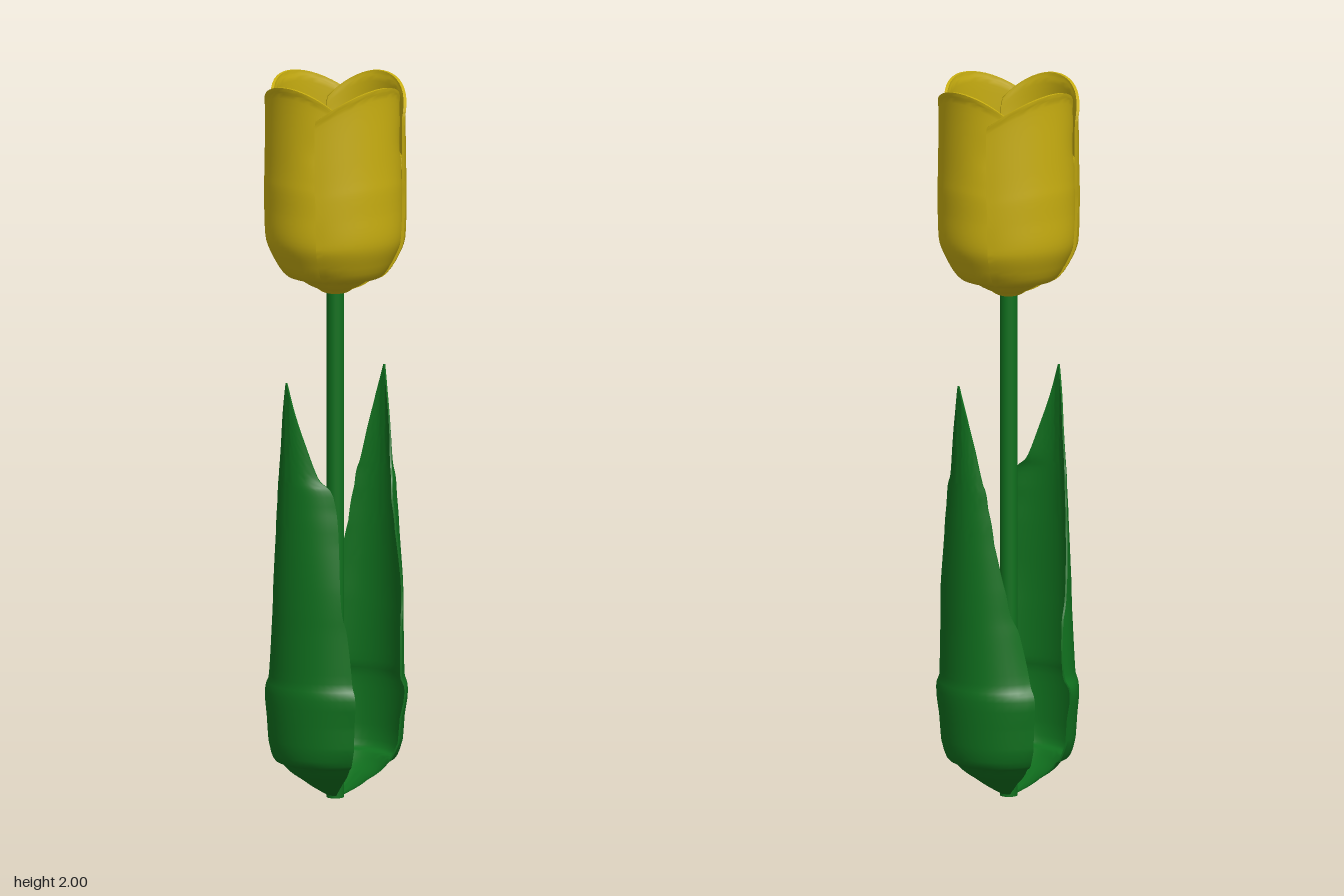
import * as THREE from 'three';
import { toCreasedNormals } from 'three/addons/utils/BufferGeometryUtils.js';

const yellow = new THREE.MeshStandardMaterial({ color: 0xc8ae10 });
const green = new THREE.MeshStandardMaterial({ color: 0x10701e });

// Thin curved blade facing +x. Each row is
// [y, middle radius, front angle, front radius, back angle, back radius], angles in degrees.
// drop lowers the corners of the top edge; mirror = -1 builds the blade on the -x side.
function blade(rows, { thickness = 0.008, drop = 0, mirror = 1, steps = 48, cols = 20 } = {}) {
  const spline = (pick) => new THREE.CatmullRomCurve3(rows.map((r) => new THREE.Vector3(...pick(r))));
  const main = spline((r) => [r[0], r[1], r[2]]);
  const edge = spline((r) => [r[3], r[4], r[5]]);
  const y0 = rows[0][0], height = rows[rows.length - 1][0] - y0;
  const ring = 2 * cols + 2;
  const pos = [], index = [];
  const tri = (a, b, c) => (mirror > 0 ? index.push(a, b, c) : index.push(a, c, b));

  for (let i = 0; i <= steps; i++) {
    const m = main.getPoint(i / steps), e = edge.getPoint(i / steps);
    for (let k = 0; k < ring; k++) {
      const inner = k > cols;
      const s = ((inner ? ring - 1 - k : k) / cols) * 2 - 1;
      const a = THREE.MathUtils.degToRad(s > 0 ? s * m.z : s * e.y);
      const edgeR = s > 0 ? e.x : e.z;
      const r = Math.max(m.y + (edgeR - m.y) * s * s - (inner ? thickness : 0), 0.001);
      const t = (m.x - y0) / height;
      pos.push(mirror * r * Math.cos(a), m.x - drop * s * s * t * t, r * Math.sin(a));
    }
  }
  // skin around the blade
  for (let i = 0; i < steps; i++) {
    for (let k = 0; k < ring; k++) {
      const a = i * ring + k, b = i * ring + ((k + 1) % ring);
      tri(a, a + ring, b);
      tri(b, a + ring, b + ring);
    }
  }
  // bottom and top rims
  const top = steps * ring;
  for (let j = 0; j < cols; j++) {
    const o = j, o2 = j + 1, n = ring - 1 - j, n2 = n - 1;
    tri(o, o2, n);
    tri(o2, n2, n);
    tri(top + o, top + n, top + o2);
    tri(top + o2, top + n, top + n2);
  }
  const geo = new THREE.BufferGeometry();
  geo.setAttribute('position', new THREE.Float32BufferAttribute(pos, 3));
  geo.setIndex(index);
  return toCreasedNormals(geo, 0.8);
}

// Outer petals: the front edge lies over the neighbour, the back edge tucks under
const outerRows = [
  [1.41, 0.029, 56, 0.031, 52, 0.028],
  [1.45, 0.100, 60, 0.104, 54, 0.094],
  [1.50, 0.163, 61, 0.168, 55, 0.153],
  [1.56, 0.187, 61, 0.193, 55, 0.175],
  [1.66, 0.190, 61, 0.198, 55, 0.177],
  [1.80, 0.187, 62, 0.198, 55, 0.174],
  [1.92, 0.183, 62, 0.198, 54, 0.172],
  [2.00, 0.185, 61, 0.200, 52, 0.172],
];

// Inner petals: shorter, leaning in at the top
const innerRows = [
  [1.415, 0.028, 46, 0.029, 46, 0.029],
  [1.45, 0.078, 48, 0.084, 48, 0.084],
  [1.50, 0.130, 48, 0.138, 48, 0.138],
  [1.57, 0.156, 48, 0.164, 48, 0.164],
  [1.70, 0.164, 48, 0.170, 48, 0.170],
  [1.80, 0.160, 45, 0.168, 45, 0.168],
  [1.87, 0.152, 36, 0.165, 36, 0.165],
  [1.905, 0.145, 20, 0.155, 20, 0.155],
];

// Leaf: wavy edges narrowing to a pointed tip
const leafRows = [
  [0.00, 0.012, 50, 0.012, 55, 0.012],
  [0.05, 0.090, 57, 0.088, 62, 0.086],
  [0.10, 0.150, 60, 0.146, 67, 0.142],
  [0.16, 0.187, 61, 0.182, 69, 0.176],
  [0.23, 0.192, 61, 0.188, 69, 0.181],
  [0.35, 0.191, 59, 0.187, 67, 0.166],
  [0.48, 0.190, 55, 0.185, 58, 0.154],
  [0.60, 0.190, 49, 0.184, 44, 0.160],
  [0.74, 0.189, 48, 0.168, 32, 0.164],
  [0.84, 0.188, 45, 0.157, 26, 0.166],
  [0.92, 0.188, 27, 0.162, 20, 0.170],
  [1.00, 0.188, 17, 0.172, 14, 0.174],
  [1.10, 0.189, 6.5, 0.184, 6.5, 0.184],
  [1.18, 0.192, 0.4, 0.192, 0.4, 0.192],
];

export function createModel() {
  const model = new THREE.Group();
  const add = (parent, name, geo, mat) => {
    const mesh = new THREE.Mesh(geo, mat);
    mesh.name = name;
    parent.add(mesh);
    return mesh;
  };

  // Stem
  add(model, 'stem', new THREE.CylinderGeometry(0.024, 0.024, 1.41, 16), green).position.y = 0.705;

  // Leaves, mirrored left and right
  add(model, 'leftLeaf', blade(leafRows, { thickness: 0.005, steps: 78 }), green);
  add(model, 'rightLeaf', blade(leafRows, { thickness: 0.005, steps: 78, mirror: -1 }), green);

  // Flower: four petals in each of two layers
  const flower = new THREE.Group();
  flower.name = 'flower';
  model.add(flower);
  const outer = blade(outerRows, { drop: 0.08 });
  const inner = blade(innerRows, { drop: 0.03 });
  for (let k = 0; k < 4; k++) {
    add(flower, 'outerPetal', outer, yellow).rotation.y = (k * Math.PI) / 2;
    add(flower, 'innerPetal', inner, yellow).rotation.y = (k * Math.PI) / 2;
  }
  return model;
}
